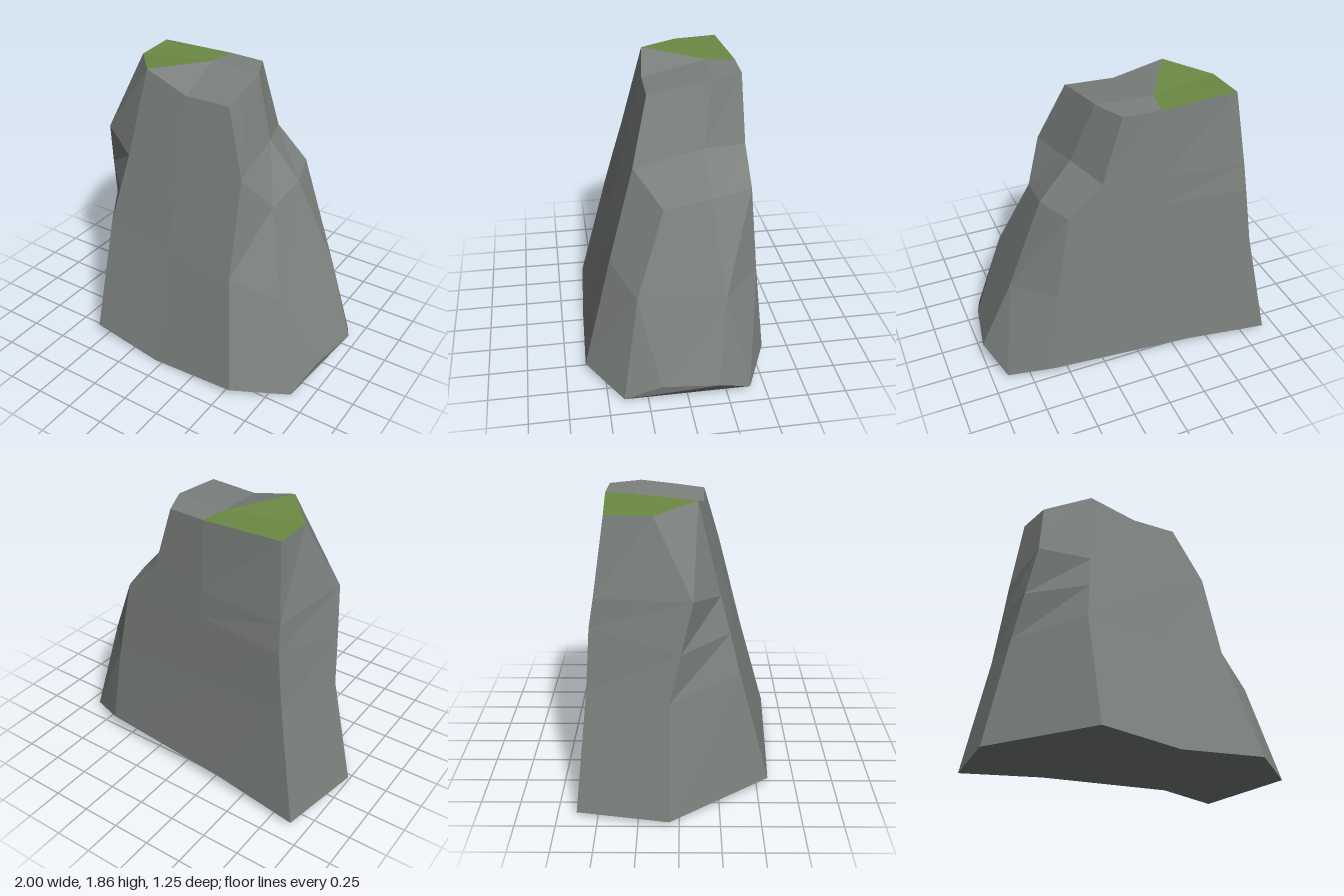
import * as THREE from 'three';

// Each corner column of the rock runs: base, lower body, shoulder edge, neck, top.
const frontRight = [[.55, .05, .62], [.42, .75, .43], [.40, 1.38, .27], [.40, 1.38, .27], [.24, 1.78, .16]];
const rightFront = [[.88, .01, .40], [.71, .63, .29], [.53, 1.15, .10], [.37, 1.41, .06], [.22, 1.81, -.03]];
const right = [[1, .15, -.18], [.80, .66, -.25], [.55, 1.21, -.19], [.34, 1.45, -.18], [.20, 1.84, -.25]];
const backRight = [[.62, .12, -.54], [.56, .68, -.49], [.46, 1.22, -.46], [.24, 1.42, -.46], [.11, 1.84, -.45]];
const back = [[-.33, .08, -.59], [-.20, .74, -.53], [-.13, 1.20, -.495], [-.13, 1.38, -.485], [-.13, 1.84, -.46]];
const backLeft = [[-.90, .03, -.63], [-.76, .79, -.555], [-.71, 1.18, -.53], [-.695, 1.36, -.50], [-.64, 1.84, -.43]];
const leftSide = [[-1, .03, -.06], [-.85, .75, -.06], [-.807, 1.05, .01], [-.76, 1.36, .08], [-.63, 1.83, -.15]];
const frontLeft = [[-.56, .06, .57], [-.55, .82, .37], [-.51, 1.06, .31], [-.47, 1.29, .25], [-.40, 1.86, .11]];
const front = [[-.05, 0, .60], [-.06, .80, .40], [-.06, 1.10, .33], [-.06, 1.35, .265], [-.08, 1.77, .15]];
// Extra base corners where one column splits in two
const rightFrontFoot = [[.94, .13, .17], ...rightFront.slice(1)];
const rightBackFoot = [[.90, .03, -.40], ...right.slice(1)];

const columns = [frontRight, rightFront, rightFrontFoot, right, rightBackFoot, backRight,
  back, backLeft, leftSide, frontLeft, front];
const topCentre = [-.16, 1.84, -.28];

// Triangle fan around a hub point
function fan(hub, rim) {
  const corners = [];
  for (let i = 0; i + 1 < rim.length; i++) corners.push(hub, rim[i], rim[i + 1]);
  return corners;
}

function facetedMesh(name, corners, material) {
  const geometry = new THREE.BufferGeometry();
  geometry.setAttribute('position', new THREE.Float32BufferAttribute(corners.flat(), 3));
  geometry.computeVertexNormals();
  const mesh = new THREE.Mesh(geometry, material);
  mesh.name = name;
  return mesh;
}

export function createModel() {
  const stone = new THREE.MeshStandardMaterial({ color: 0x7c817e });
  stone.name = 'grey stone';
  const moss = new THREE.MeshStandardMaterial({ color: 0x6c8a44 });
  moss.name = 'green moss';

  // Side facets between neighbouring columns
  const sides = [];
  columns.forEach((a, i) => {
    const b = columns[(i + 1) % columns.length];
    for (let k = 0; k < 4; k++) sides.push(a[k], b[k], b[k + 1], a[k], b[k + 1], a[k + 1]);
  });

  // Underside, with the undercut at the right foot
  const foot = (list) => list.map((c) => c[0]);
  const base = [
    ...fan([0, .03, 0], foot([frontRight, front, frontLeft, leftSide, backLeft, back,
      backRight, rightBackFoot, rightFront, frontRight])),
    ...fan(rightFront[0], foot([rightBackFoot, right, rightFrontFoot])),
  ];

  // Top: bare stone on the right, moss on the left
  const crown = (list) => list.map((c) => c[4]);
  const bareTop = fan(topCentre, crown([frontLeft, front, frontRight, rightFront, right, backRight, back]));
  const mossTop = fan(topCentre, crown([back, backLeft, leftSide, frontLeft]));

  const rock = new THREE.Group();
  rock.name = 'rock';
  rock.add(
    facetedMesh('rockSides', sides, stone),
    facetedMesh('rockBase', base, stone),
    facetedMesh('rockTop', bareTop, stone),
    facetedMesh('mossPatch', mossTop, moss),
  );
  return rock;
}
